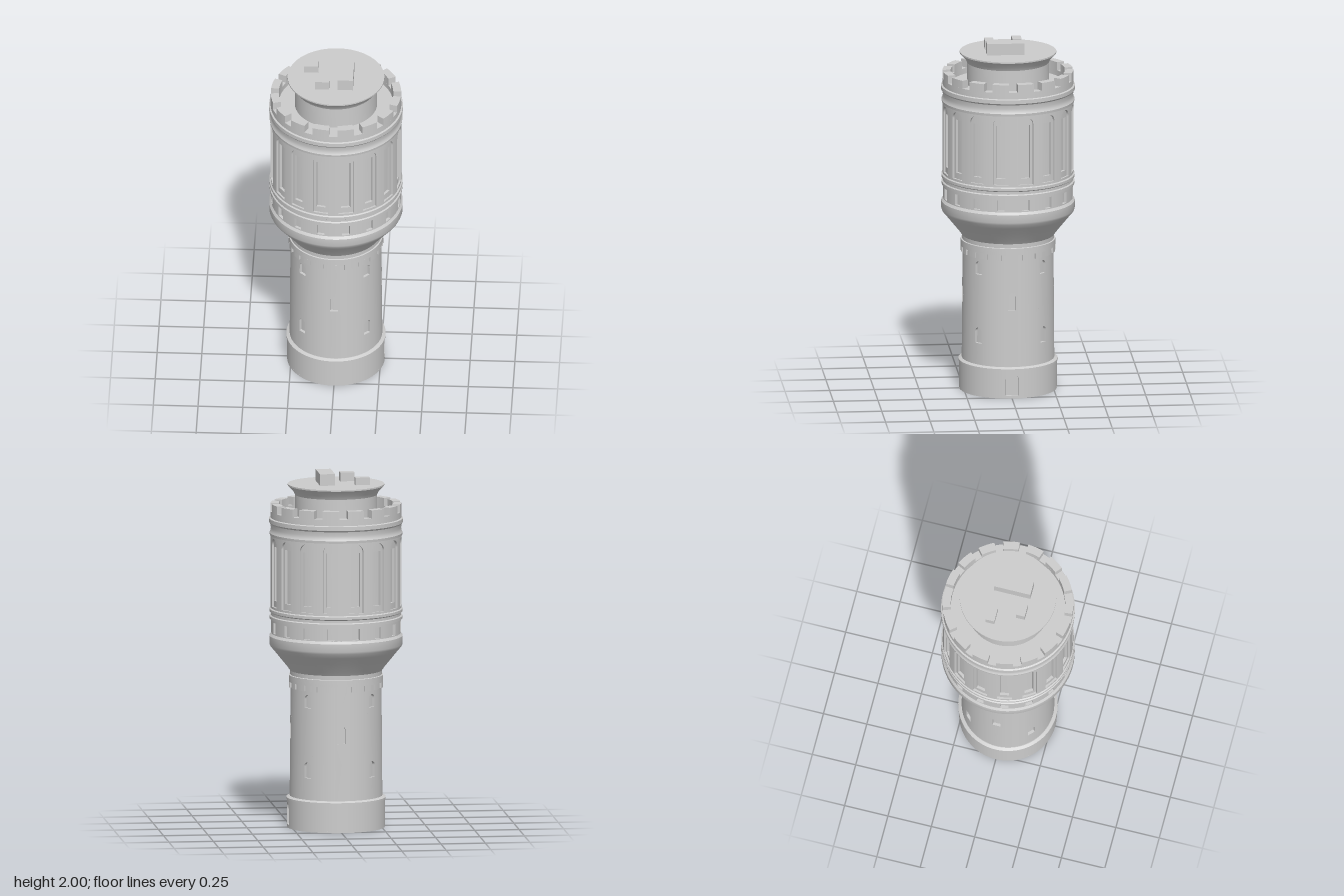
import * as THREE from 'three';
import { toCreasedNormals } from 'three/addons/utils/BufferGeometryUtils.js';

const stone = new THREE.MeshStandardMaterial({ color: 0xcccccc });
stone.name = 'stone grey';

function addMesh(parent, name, geometry) {
  const mesh = new THREE.Mesh(geometry, stone);
  mesh.name = name;
  parent.add(mesh);
  return mesh;
}

// Wraps a flat piece (x along the wall, z outwards) round the tower axis.
function bend(geometry, radiusAt) {
  const p = geometry.attributes.position, n = geometry.attributes.normal;
  for (let i = 0; i < p.count; i++) {
    const r = radiusAt(p.getY(i)), a = p.getX(i) / r, s = Math.sin(a), c = Math.cos(a);
    const out = r + p.getZ(i), nx = n.getX(i), nz = n.getZ(i);
    p.setXYZ(i, out * s, p.getY(i), out * c);
    n.setXYZ(i, nx * c + nz * s, n.getY(i), nz * c - nx * s);
  }
  return geometry;
}

// Opening with a square or a round-arched head.
function opening(w, y0, y1, arched) {
  const h = w / 2, path = new THREE.Path();
  path.moveTo(-h, y0);
  path.lineTo(h, y0);
  if (arched) {
    path.lineTo(h, y1 - h);
    path.absarc(0, y1 - h, h, 0, Math.PI, false);
  } else {
    path.lineTo(h, y1);
    path.lineTo(-h, y1);
  }
  path.lineTo(-h, y0);
  return path;
}

// Wall panel with real openings, bent to the wall radius.
function panel(w, y0, y1, radiusAt, depth, holes) {
  const pts = [], n = 6;
  for (let i = 0; i <= n; i++) pts.push(new THREE.Vector2(-w / 2 + w * i / n, y0));
  for (let i = n; i >= 0; i--) pts.push(new THREE.Vector2(-w / 2 + w * i / n, y1));
  const shape = new THREE.Shape(pts);
  shape.holes.push(...holes);
  const g = new THREE.ExtrudeGeometry(shape, { depth, bevelEnabled: false, curveSegments: 10 });
  g.translate(0, 0, -depth);
  return bend(g, radiusAt);
}

// Ring of pierced panels joined by plain curved strips.
function piercedRing(parent, name, o) {
  const ring = new THREE.Group();
  ring.name = name;
  parent.add(ring);
  const h = o.y1 - o.y0, step = Math.PI * 2 / o.count;
  const radiusAt = y => o.r0 + (o.r1 - o.r0) * (y - o.y0) / h;
  const half = o.w / 2 / Math.min(o.r0, o.r1);
  for (let i = 0; i < o.count; i++) {
    const a = (o.start || 0) + i * step;
    addMesh(ring, name + 'Panel', panel(o.w, o.y0, o.y1, radiusAt, o.depth, o.holes(i))).rotation.y = a;
    if (o.panelsOnly) continue;
    const from = o.w / 2 / Math.max(o.r0, o.r1), len = step - 2 * from;
    const strip = new THREE.CylinderGeometry(o.r1, o.r0, h, Math.max(3, Math.ceil(len / 0.08)), 1, true, from, len);
    strip.translate(0, (o.y0 + o.y1) / 2, 0);
    addMesh(ring, name + 'Strip', strip).rotation.y = a;
  }
}

function lathe(parent, name, profile) {
  const g = new THREE.LatheGeometry(profile.map(([r, y]) => new THREE.Vector2(r, y)), 80);
  return addMesh(parent, name, toCreasedNormals(g, 0.45));
}

// Ring of curved blocks.
function blockRing(parent, name, count, start, w, y0, y1, r0, r1) {
  for (let i = 0; i < count; i++) {
    const g = new THREE.BoxGeometry(w, y1 - y0, r1 - r0, 4, 1, 1);
    g.translate(0, (y0 + y1) / 2, (r0 - r1) / 2);
    addMesh(parent, name, bend(g, () => r1)).rotation.y = start + i * Math.PI * 2 / count;
  }
}

export function createModel() {
  const tower = new THREE.Group();
  tower.name = 'waterTower';
  const bay = Math.PI / 8;

  // Plinth, with the door on the +x side
  lathe(tower, 'foundation', [[0, 0], [0.273, 0], [0.273, 0.008], [0.258, 0.008], [0.258, 0.155]]);
  piercedRing(tower, 'plinth', {
    y0: 0.008, y1: 0.16, r0: 0.273, r1: 0.273, count: 1, start: Math.PI / 2, w: 0.1, depth: 0.014,
    holes: () => [opening(0.078, 0.016, 0.142, true)],
  });
  lathe(tower, 'plinthLedge', [[0.25, 0.16], [0.278, 0.16], [0.278, 0.17], [0.262, 0.178], [0.24, 0.178]]);

  // Shaft: one window on each axis, two on each diagonal
  lathe(tower, 'shaftCore', [[0.242, 0.17], [0.238, 0.83]]);
  piercedRing(tower, 'shaft', {
    y0: 0.175, y1: 0.83, r0: 0.259, r1: 0.254, count: 8, w: 0.07, depth: 0.016,
    holes: i => i % 2
      ? [opening(0.046, 0.3, 0.39, true), opening(0.046, 0.695, 0.77, true)]
      : [opening(0.046, 0.5, 0.6, true)],
  });

  // Toothed band under the flared neck
  blockRing(tower, 'corbel', 20, 0, 0.045, 0.79, 0.825, 0.245, 0.264);

  // Neck, mouldings, tank core and parapet wall
  lathe(tower, 'neck', [
    [0.24, 0.822], [0.264, 0.822], [0.264, 0.86], [0.257, 0.862], [0.258, 0.885], [0.272, 0.905],
    [0.315, 0.958], [0.345, 0.995], [0.368, 1.022], [0.373, 1.035], [0.373, 1.08], [0.362, 1.094], [0.345, 1.094],
  ]);
  lathe(tower, 'beltCore', [[0.345, 1.09], [0.345, 1.18]]);
  piercedRing(tower, 'belt', {
    y0: 1.092, y1: 1.178, r0: 0.362, r1: 0.362, count: 16, start: bay / 2, w: 0.06, depth: 0.018,
    holes: () => [opening(0.044, 1.1, 1.162, false)],
  });
  lathe(tower, 'lowerMoulding', [
    [0.34, 1.176], [0.371, 1.176], [0.371, 1.192], [0.364, 1.197], [0.364, 1.212], [0.372, 1.218],
    [0.372, 1.233], [0.365, 1.238], [0.335, 1.238],
  ]);
  lathe(tower, 'tankCore', [[0.338, 1.23], [0.338, 1.66]]);

  // Tank wall: arched niches with narrow windows set inside
  piercedRing(tower, 'niche', {
    y0: 1.236, y1: 1.65, r0: 0.365, r1: 0.365, count: 16, start: bay / 2, w: 0.1, depth: 0.013,
    holes: () => [opening(0.086, 1.25, 1.637, true)],
  });
  piercedRing(tower, 'windowFrame', {
    y0: 1.236, y1: 1.65, r0: 0.353, r1: 0.353, count: 16, start: bay / 2, w: 0.1, depth: 0.015,
    panelsOnly: true, holes: () => [opening(0.052, 1.285, 1.59, false)],
  });

  // Upper mouldings, walkway and flared roof drum
  lathe(tower, 'upperMoulding', [
    [0.335, 1.648], [0.37, 1.648], [0.372, 1.662], [0.366, 1.672], [0.364, 1.69], [0.368, 1.712],
    [0.374, 1.72], [0.374, 1.742], [0.365, 1.746], [0.365, 1.782], [0.32, 1.782], [0.32, 1.75], [0.23, 1.75],
  ]);
  blockRing(tower, 'merlon', 16, bay / 2, 0.094, 1.775, 1.827, 0.32, 0.365);
  lathe(tower, 'roofDrum', [
    [0.23, 1.75], [0.23, 1.875], [0.24, 1.895], [0.27, 1.927], [0.27, 1.935], [0, 1.935],
  ]);

  // Roof boxes: x0, x1, z0, z1, top
  [
    [0.015, 0.1, -0.085, 0.125, 2.0],
    [-0.18, -0.1, -0.085, -0.033, 1.977],
    [-0.113, -0.033, 0.075, 0.125, 1.985],
  ].forEach(([x0, x1, z0, z1, top]) => {
    const h = top - 1.93;
    const box = addMesh(tower, 'roofBox', new THREE.BoxGeometry(x1 - x0, h, z1 - z0));
    box.position.set((x0 + x1) / 2, 1.93 + h / 2, (z0 + z1) / 2);
  });
  return tower;
}
